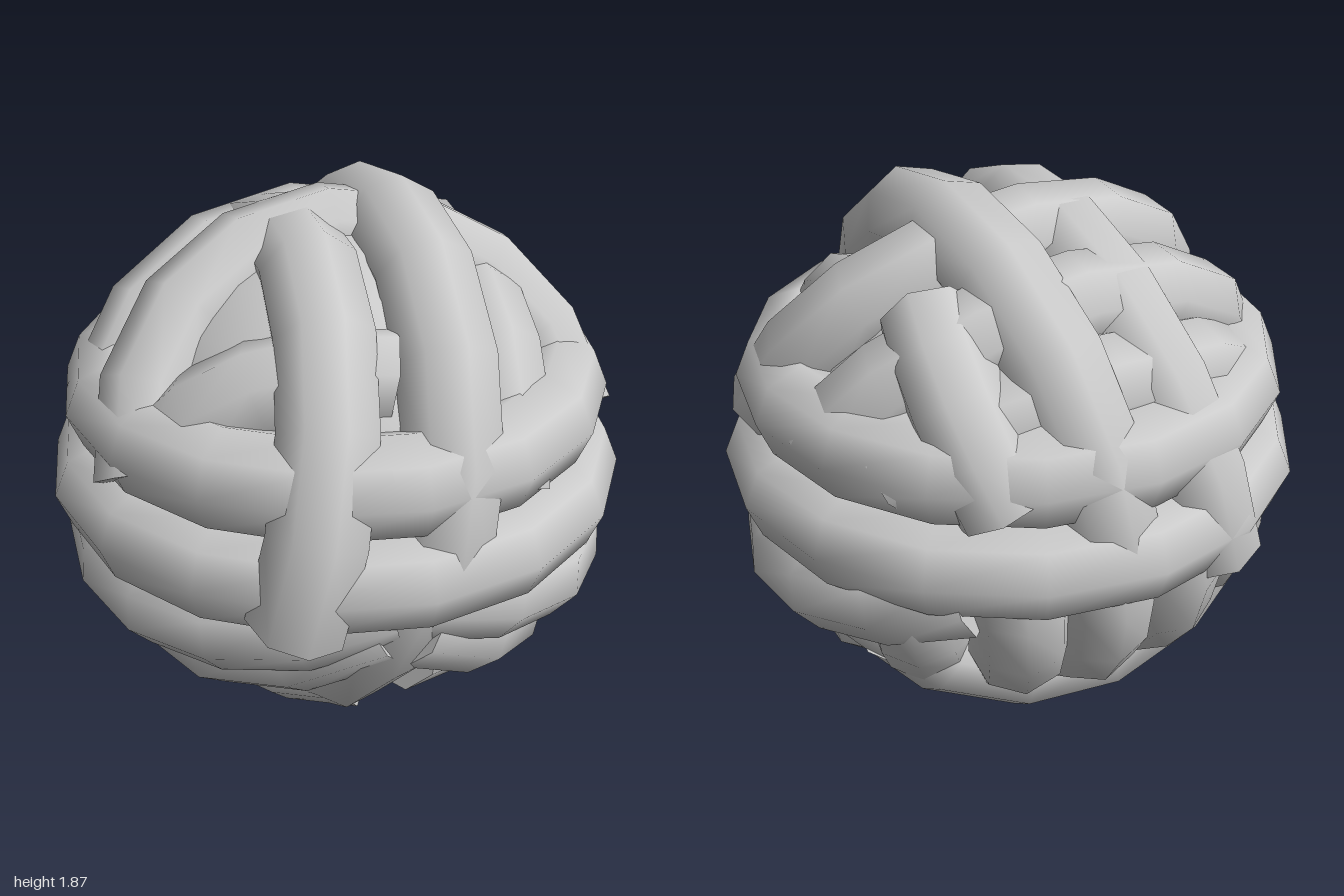
import * as THREE from 'three';

const TUBE = 0.173;
const CENTRE_Y = 0.94;
const material = new THREE.MeshStandardMaterial({ color: 0xcccccc });

// Thick yarn following the circle through three points: either the arc from
// the first to the last, with closed ends, or the full loop.
function strand(name, p, q, s, loop = false) {
  const [a, m, b] = [p, q, s].map(v => new THREE.Vector3(...v));
  const u = m.clone().sub(a), v = b.clone().sub(a);
  const w = u.clone().cross(v);
  const centre = w.clone().cross(u).multiplyScalar(v.lengthSq())
    .add(v.clone().cross(w).multiplyScalar(u.lengthSq()))
    .divideScalar(2 * w.lengthSq()).add(a);
  const radius = a.distanceTo(centre);

  // Local axes: x towards the first point, z along the circle's axis
  const x = a.clone().sub(centre).normalize();
  const z = w.normalize();
  const y = z.clone().cross(x);
  const end = b.sub(centre);
  const turn = Math.atan2(end.dot(y), end.dot(x));
  const arc = loop ? Math.PI * 2 : (turn + Math.PI * 2) % (Math.PI * 2);

  const group = new THREE.Group();
  group.name = name;
  group.quaternion.setFromRotationMatrix(new THREE.Matrix4().makeBasis(x, y, z));
  group.position.copy(centre);
  const segments = Math.max(4, Math.round(arc / (Math.PI / 8)));
  group.add(new THREE.Mesh(new THREE.TorusGeometry(radius, TUBE, 8, segments, arc), material));
  if (!loop) {
    for (const [angle, tip] of [[0, Math.PI / 2], [arc, -Math.PI / 2]]) {
      const cap = new THREE.Mesh(new THREE.CircleGeometry(TUBE, 8), material);
      cap.name = 'strandEnd';
      cap.position.set(radius * Math.cos(angle), radius * Math.sin(angle), 0);
      cap.rotation.set(tip, 0, angle, 'ZYX');
      group.add(cap);
    }
  }
  return group;
}

// Point on the rear of a sphere of radius r
const rear = (x, y, r) => [x, y, -Math.sqrt(r * r - x * x - y * y)];

export function createModel() {
  const ball = new THREE.Group();
  ball.name = 'yarnBall';
  ball.position.y = CENTRE_Y;
  const add = (...args) => ball.add(strand(...args));

  // Wound core filling the gaps
  const core = new THREE.Mesh(new THREE.SphereGeometry(0.79, 16, 12), material);
  core.name = 'core';
  ball.add(core);

  // Level loops around the middle
  for (const [name, y, r] of [['middleStrand', -0.06, 0.827], ['upperStrand', 0.24, 0.767]]) {
    add(name, [r, y, 0], [0, y, -r], [-r, y, 0], true);
  }

  // Upright strands over the top, and the one running under the front
  add('uprightStrand', [0.09, -0.05, 0.79], [0.21, 0.77, 0], [0.08, -0.05, -0.79]);
  add('uprightSideStrand', [-0.39, -0.18, 0.79], [-0.13, 0.715, 0], [-0.32, -0.17, -0.78]);
  add('frontLowerStrand', [0, -0.1, 0.78], [-0.14, -0.58, 0.51], [-0.22, -0.7, -0.3]);

  // Arches from side to side over the top: end x, y, z and crown y, z
  for (const [x, y, z, cy, cz] of [
    [0.74, 0.14, 0.3, 0.735, -0.09],
    [0.74, 0.2, -0.15, 0.62, -0.41],
    [0.64, 0.2, -0.4, 0.42, -0.6],
  ]) {
    add('archStrand', [-x, y, z], [0, cy, cz], [x, y, z]);
  }

  // Deeper strands in the upper gaps
  add('rightInnerStrand', [-0.66, 0.2, 0.28], [-0.4, 0.43, 0.4], [0, 0.47, 0.5]);
  add('leftInnerStrand', [0.35, 0.1, 0.64], [0.43, 0.43, 0.34], [0.46, 0.5, -0.05]);
  add('rearInnerStrand', [0.42, 0.58, -0.25], [0.46, 0.42, -0.5], [0.4, 0.15, -0.68]);

  // Row of strands down the back
  for (const x of [0.62, 0.36, 0.1, -0.18, -0.45]) {
    add('backStrand', rear(x, -0.05, 0.77), rear(x - 0.04, -0.38, 0.81), rear(x * 0.8 - 0.08, -0.64, 0.785));
  }

  // Strand under the rear, crossing the ends of the back row
  add('rearStrand', [0.63, -0.41, -0.25], [0.15, -0.74, -0.4], [-0.7, -0.15, -0.37]);

  // Sloping strands below the middle, on the left
  add('leftSlopeStrand', [0.05, -0.17, 0.75], [0.79, -0.35, 0.1], [0.5, -0.17, -0.6]);
  add('leftLowStrand', [0.03, -0.3, 0.72], [0.6, -0.56, 0.05], [0.53, -0.44, -0.35]);
  add('leftBottomStrand', [0.05, -0.5, 0.58], [0.35, -0.61, 0.32], [0.45, -0.57, -0.25]);

  // Sloping strands below the middle, on the right
  add('rightSlopeStrand', [-0.1, -0.17, 0.75], [-0.61, -0.3, 0.49], [-0.67, -0.18, -0.4]);
  add('rightLowStrand', [-0.1, -0.27, 0.72], [-0.45, -0.46, 0.48], [-0.62, -0.46, -0.2]);
  add('rightBottomStrand', [-0.1, -0.6, 0.5], [-0.4, -0.63, 0.2], [-0.5, -0.55, -0.25]);

  // Strand across the underside
  add('undersideStrand', [-0.12, -0.73, 0.2], [0.3, -0.72, 0], [0.57, -0.48, -0.28]);

  const model = new THREE.Group();
  model.name = 'model';
  model.add(ball);
  return model;
}
